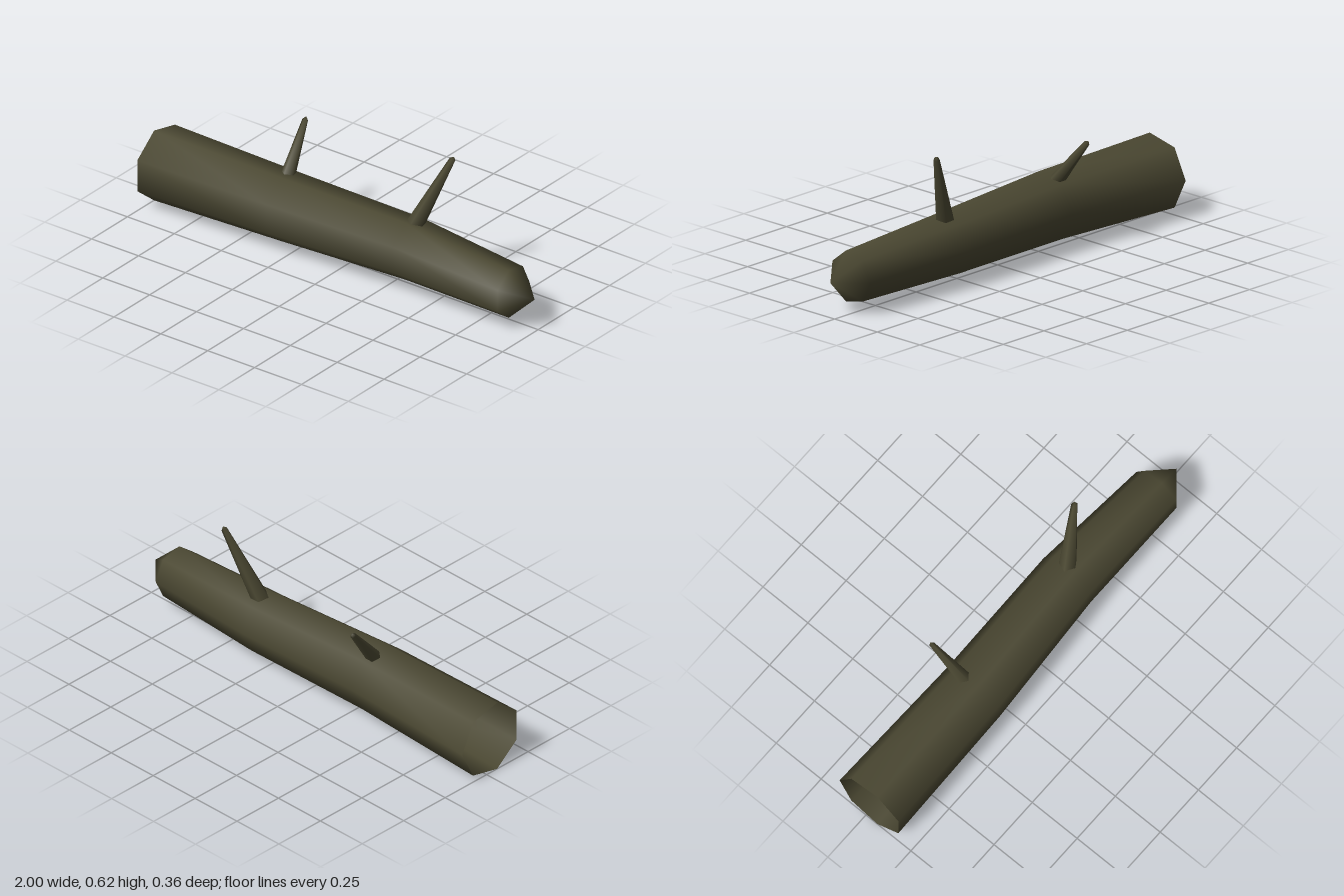
import * as THREE from 'three';

const bark = new THREE.MeshStandardMaterial({ color: 0x4b4832, side: THREE.DoubleSide });
bark.name = 'darkBark';

// Smooth open tube through rings [centre, radius], closed by a pointed tip.
// u and v span the ring plane; u x v points along the growth direction.
function limb(name, rings, tip, sides, u, v) {
  const pos = [], index = [];
  for (const [c, r] of rings) {
    for (let k = 0; k < sides; k++) {
      const a = (k / sides) * Math.PI * 2;
      const p = new THREE.Vector3(...c)
        .addScaledVector(u, r * Math.cos(a))
        .addScaledVector(v, r * Math.sin(a));
      pos.push(p.x, p.y, p.z);
    }
  }
  const apex = rings.length * sides;
  pos.push(...tip);
  for (let i = 0; i < rings.length; i++) {
    for (let k = 0; k < sides; k++) {
      const a = i * sides + k, b = i * sides + (k + 1) % sides;
      if (i === rings.length - 1) index.push(a, b, apex);
      else index.push(a, b, b + sides, a, b + sides, a + sides);
    }
  }
  const g = new THREE.BufferGeometry();
  g.setAttribute('position', new THREE.Float32BufferAttribute(pos, 3));
  g.setIndex(index);
  g.computeVertexNormals();
  const mesh = new THREE.Mesh(g, bark);
  mesh.name = name;
  return mesh;
}

// Thin tapering side branch with a short blunt point
function branch(name, base, tip, r0, r1) {
  const a = new THREE.Vector3(...base), b = new THREE.Vector3(...tip);
  const dir = b.clone().sub(a).normalize();
  const u = new THREE.Vector3(1, 0, 0).cross(dir).normalize();
  const v = dir.clone().cross(u);
  const neck = b.clone().addScaledVector(dir, -0.015);
  return limb(name, [[base, r0], [neck.toArray(), r1]], tip, 5, u, v);
}

export function createModel() {
  const group = new THREE.Group();
  group.name = 'fallenLog';

  // Seven-sided trunk, open at the thick end
  const back = new THREE.Vector3(0, 0, -1), up = new THREE.Vector3(0, 1, 0);
  group.add(limb('trunk', [
    [[-1, 0.168, 0.025], 0.172],
    [[-0.32, 0.176, 0.028], 0.156],
    [[0.32, 0.17, 0.002], 0.14],
    [[0.88, 0.153, 0.022], 0.117],
  ], [1, 0.155, 0.025], 7, back, up));

  // Two branch stubs leaning backwards
  group.add(branch('longBranch', [0.33, 0.27, -0.008], [0.478, 0.622, -0.096], 0.042, 0.014));
  group.add(branch('shortBranch', [-0.345, 0.295, -0.012], [-0.372, 0.506, -0.178], 0.034, 0.013));

  return group;
}
